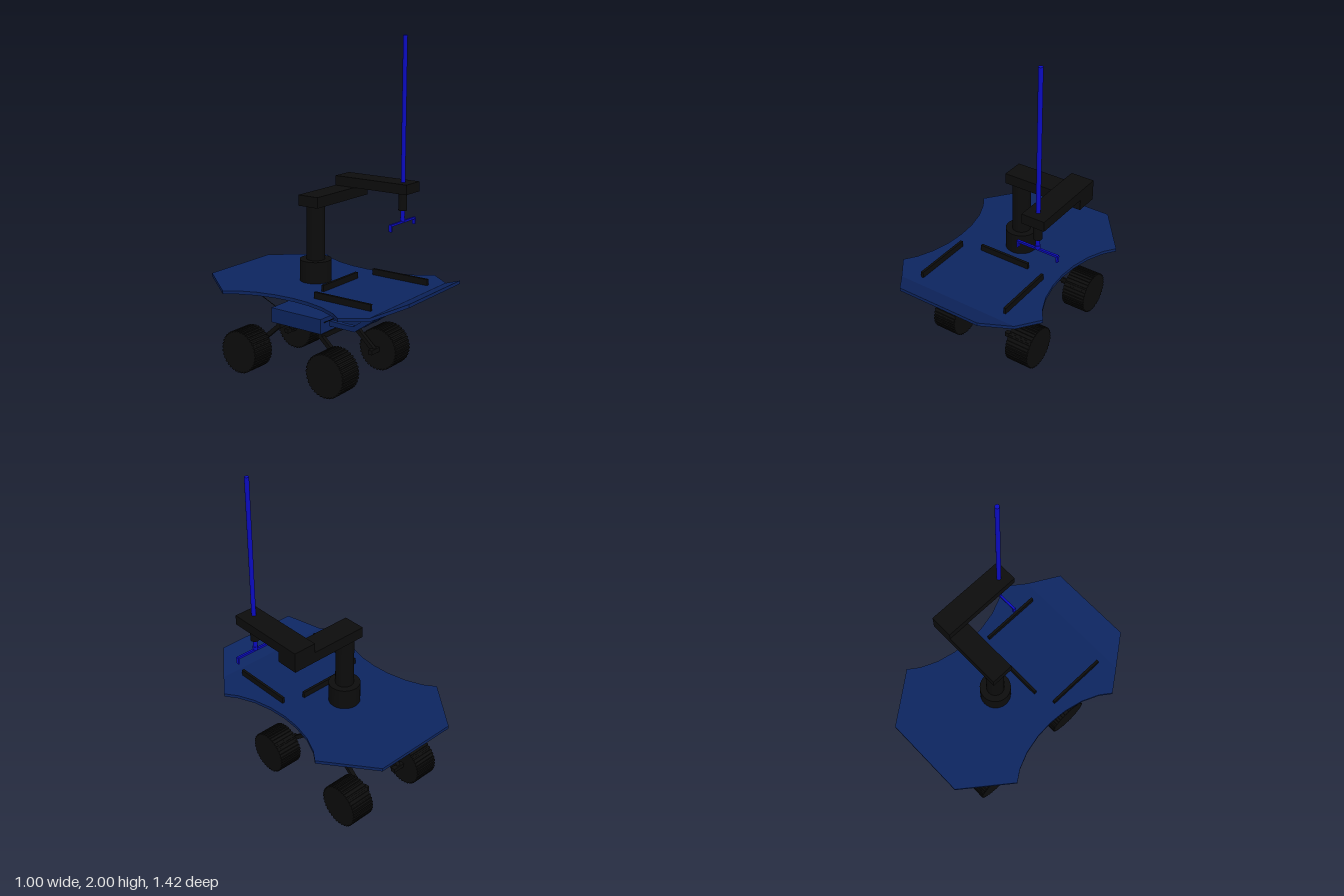
import * as THREE from 'three';

export function createModel() {
  const model = new THREE.Group();
  const mat = (name, color) => new THREE.MeshStandardMaterial({ name, color });
  const navy = mat('navy', 0x0d2560);
  const black = mat('black', 0x0c0c0c);
  const blue = mat('bright blue', 0x0a0ac0);

  const add = (name, geo, material, x = 0, y = 0, z = 0) => {
    const mesh = new THREE.Mesh(geo, material);
    mesh.name = name;
    mesh.position.set(x, y, z);
    model.add(mesh);
    return mesh;
  };
  // box given by its limits on each axis
  const box = (name, material, x0, x1, y0, y1, z0, z1) =>
    add(name, new THREE.BoxGeometry(x1 - x0, y1 - y0, z1 - z0), material,
      (x0 + x1) / 2, (y0 + y1) / 2, (z0 + z1) / 2);
  const post = (name, material, r, x, y0, y1, z, sides = 32) =>
    add(name, new THREE.CylinderGeometry(r, r, y1 - y0, sides), material, x, (y0 + y1) / 2, z);
  // square bar or round wire between two points
  const link = (name, material, a, b, size, round = false) => {
    const from = new THREE.Vector3(...a), to = new THREE.Vector3(...b);
    const dir = to.clone().sub(from), len = dir.length();
    const geo = round ? new THREE.CylinderGeometry(size / 2, size / 2, len, 6)
      : new THREE.BoxGeometry(size, len, size);
    const mesh = add(name, geo, material);
    mesh.position.copy(from).add(to).multiplyScalar(0.5);
    mesh.quaternion.setFromUnitVectors(new THREE.Vector3(0, 1, 0), dir.normalize());
    return mesh;
  };
  // flat slab from an (x, z) outline, extruded upwards
  const slab = (outline, thick) => new THREE.ExtrudeGeometry(
    new THREE.Shape(outline.map(([x, z]) => new THREE.Vector2(x, -z))),
    { depth: thick, bevelEnabled: false }).rotateX(-Math.PI / 2);

  // waisted deck with a front lip folded upwards
  const side = [[0.27, -0.71], [0.5, -0.41], [0.45, -0.34], [0.405, -0.235], [0.378, -0.115],
    [0.37, 0], [0.378, 0.115], [0.405, 0.235], [0.45, 0.34], [0.5, 0.41], [0.4, 0.545]];
  const mirrored = side.map(([x, z]) => [-x, z]).reverse();
  add('deck', slab([...side, ...mirrored], 0.02), navy, 0, 0.54, 0);
  const lip = slab([[-0.4, 0.545], [0.4, 0.545], [0.27, 0.71], [-0.27, 0.71]], 0.02);
  const p = lip.attributes.position;
  for (let i = 0; i < p.count; i++) p.setY(i, p.getY(i) + (p.getZ(i) - 0.545) * 0.46);
  lip.computeVertexNormals();
  add('frontLip', lip, navy, 0, 0.54, 0);

  // raised rails on the deck
  box('frontRail', black, -0.17, 0.17, 0.56, 0.598, 0.053, 0.07);
  for (const s of [-1, 1])
    box('sideRail', black, s * 0.293 - 0.008, s * 0.293 + 0.008, 0.56, 0.598, 0.1, 0.485);

  // mast and two-section arm
  post('mastBase', black, 0.095, 0, 0.56, 0.69, -0.117);
  post('mast', black, 0.055, 0, 0.69, 1.02, -0.117);
  box('lowerArm', black, -0.07, 0.44, 1.015, 1.08, -0.19, -0.05);
  box('upperArm', black, 0.295, 0.44, 1.08, 1.14, -0.19, 0.325);
  post('rodCollar', black, 0.026, 0.36, 0.97, 1.08, 0.26);

  // sliding rod with the fork at its foot
  post('rod', blue, 0.0135, 0.36, 0.9, 2, 0.26, 16);
  post('rodFoot', blue, 0.016, 0.36, 0.905, 0.925, 0.26, 16);
  box('forkBar', blue, 0.225, 0.495, 0.893, 0.906, 0.253, 0.267);
  for (const s of [-1, 1])
    box('forkTine', blue, 0.36 + s * 0.13 - 0.005, 0.36 + s * 0.13 + 0.005, 0.862, 0.9, 0.25, 0.27);

  // chassis box with the beam hung below it
  box('chassis', navy, -0.2, 0.2, 0.31, 0.4, -0.3, 0.07);
  box('beam', navy, -0.1, 0.1, 0.265, 0.297, -0.225, -0.01);
  for (const z of [-0.02, -0.21]) post('beamPin', black, 0.004, 0, 0.29, 0.315, z, 8);

  // bent braces carrying the front of the deck
  const brace = new THREE.ExtrudeGeometry(new THREE.Shape([[0.06, 0.337], [0.247, 0.337],
    [0.402, 0.447], [0.402, 0.545], [0.37, 0.545], [0.37, 0.465], [0.238, 0.368], [0.06, 0.368]]
    .map(([z, y]) => new THREE.Vector2(-z, y))), { depth: 0.028, bevelEnabled: false });
  brace.rotateY(Math.PI / 2);
  for (const x of [-0.1, 0, 0.1]) add('frontBrace', brace, navy, x - 0.014, 0, 0);

  // thin stay wires
  for (const x of [-0.165, 0.165]) {
    link('frontStay', black, [x, 0.545, 0.375], [x, 0.37, 0.065], 0.005, true);
    link('rearStay', black, [x, 0.545, -0.635], [x, 0.398, -0.29], 0.005, true);
  }

  // toothed wheel, extruded along its axle
  const teeth = 36, pts = [];
  for (let i = 0; i < teeth; i++) {
    [[0, 0.132], [0.5, 0.132], [0.55, 0.125], [0.95, 0.125]].forEach(([t, r]) => {
      const a = (i + t) / teeth * Math.PI * 2;
      pts.push(new THREE.Vector2(Math.cos(a) * r, Math.sin(a) * r));
    });
  }
  const wheel = new THREE.ExtrudeGeometry(new THREE.Shape(pts), { depth: 0.155, bevelEnabled: false });
  wheel.translate(0, 0, -0.0775).rotateY(Math.PI / 2);

  // front and rear axle frames
  for (const [zBar, zWheel] of [[0.042, 0.205], [-0.275, -0.437]]) {
    box('axleCrossbar', black, -0.168, 0.168, 0.268, 0.298, zBar - 0.014, zBar + 0.014);
    for (const s of [-1, 1]) {
      link('wheelStrut', black, [s * 0.155, 0.28, zBar], [s * 0.155, 0.137, zWheel], 0.026);
      link('axle', black, [s * 0.108, 0.135, zWheel], [s * 0.2, 0.135, zWheel], 0.028);
      add('wheel', wheel, black, s * 0.268, 0.132, zWheel);
    }
  }
  return model;
}
